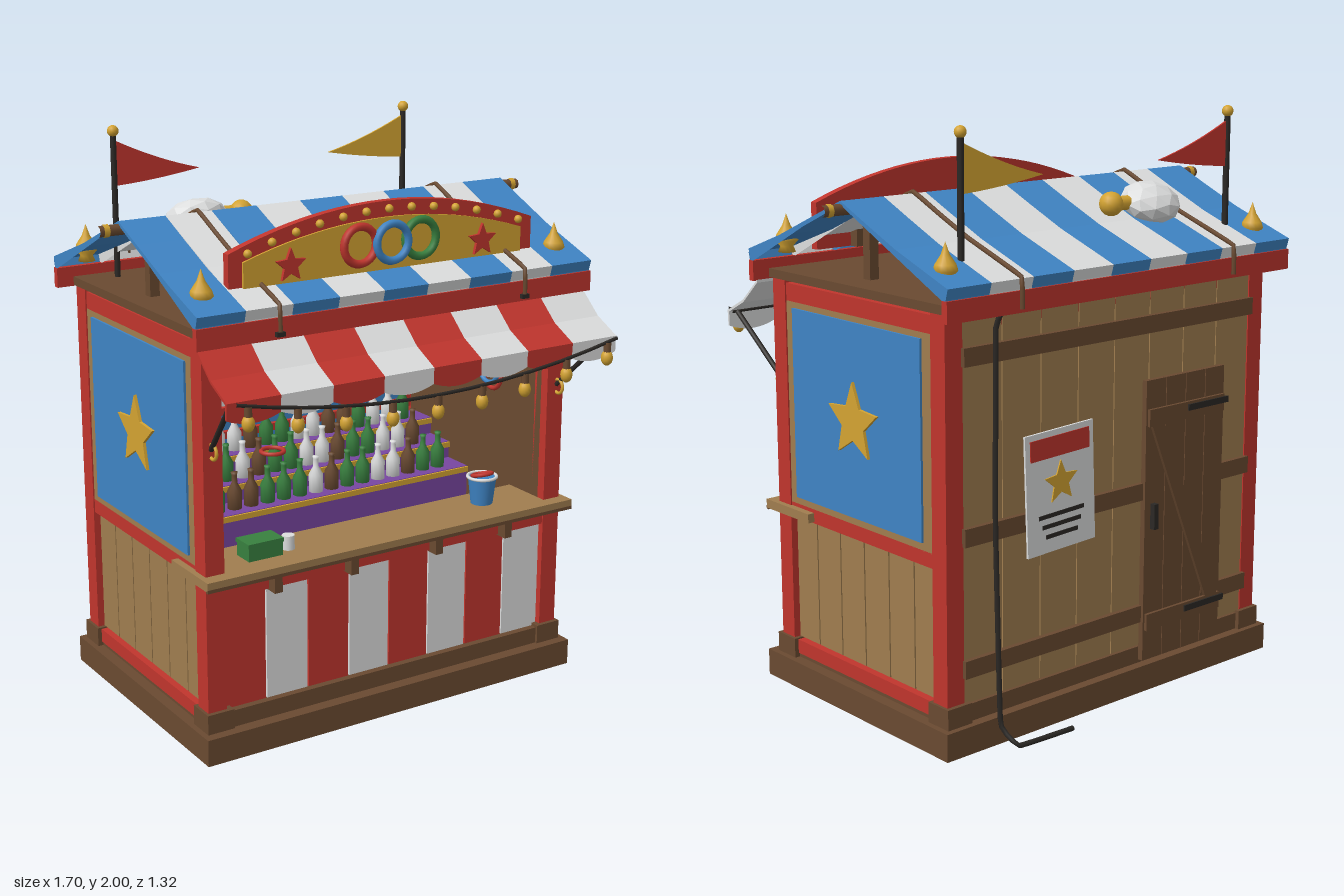
import * as THREE from 'three';

const mat = (name, color) => { const m = new THREE.MeshStandardMaterial({ color }); m.name = name; return m; };

export function createModel() {
  const red = mat('red paint', 0xc0352d), blue = mat('blue paint', 0x3f84c4), white = mat('white cloth', 0xdcdddd);
  const gold = mat('gold', 0xd3a332), brown = mat('dark wood', 0x6a4a31), tan = mat('light wood', 0xa07d4f);
  const purple = mat('purple', 0x7846a0), green = mat('green', 0x38803f), black = mat('black iron', 0x2b2825);
  const root = new THREE.Group();
  root.name = 'fairgroundStall';

  // ---- helpers ----
  const add = (name, geo, m, x = 0, y = 0, z = 0, parent = root) => {
    const o = new THREE.Mesh(geo, m);
    o.name = name; o.position.set(x, y, z); parent.add(o);
    return o;
  };
  const box = (name, m, w, h, d, x, y, z, parent) => add(name, new THREE.BoxGeometry(w, h, d), m, x, y, z, parent);
  const ball = (name, m, r, x, y, z, sx = 1, sy = 1, sz = 1, parent = root) => {
    const o = add(name, new THREE.SphereGeometry(r, 14, 10), m, x, y, z, parent);
    o.scale.set(sx, sy, sz); return o;
  };
  const ring = (name, m, r, t, x, y, z) => add(name, new THREE.TorusGeometry(r, t, 8, 28), m, x, y, z);
  const tube = (name, m, pts, r, seg = 24) => add(name, new THREE.TubeGeometry(
    new THREE.CatmullRomCurve3(pts.map(p => new THREE.Vector3(...p)), false, 'catmullrom', 0.1), seg, r, 6), m);
  const rod = (name, m, a, b, r) => add(name, new THREE.TubeGeometry(
    new THREE.LineCurve3(new THREE.Vector3(...a), new THREE.Vector3(...b)), 1, r, 8), m);
  const plate = (name, m, shape, depth, x, y, z) =>
    add(name, new THREE.ExtrudeGeometry(shape, { depth, bevelEnabled: false, curveSegments: 20 }), m, x, y, z);
  const starShape = r => new THREE.Shape(Array.from({ length: 10 }, (_, i) => {
    const a = Math.PI / 2 + i * Math.PI / 5, q = i % 2 ? r * 0.45 : r;
    return new THREE.Vector2(Math.cos(a) * q, Math.sin(a) * q);
  }));
  // Cloth strip: [z, y] path thickened downwards and swept from x0 to x1
  const cloth = (name, m, path, x0, x1, t) => {
    const outline = [...path, ...path.slice().reverse().map(([z, y]) => [z, y - t])];
    const geo = new THREE.ExtrudeGeometry(new THREE.Shape(outline.map(p => new THREE.Vector2(...p))),
      { depth: x1 - x0, bevelEnabled: false });
    geo.translate(0, 0, -x1).rotateY(-Math.PI / 2);
    return add(name, geo, m);
  };
  const CZ = -0.075;

  // ---- plinth, frame and ceiling ----
  box('plinth', brown, 1.52, 0.095, 1.0, 0, 0.0475, -0.07);
  box('floorBeam', brown, 1.44, 0.06, 0.92, 0, 0.125, CZ);
  for (const s of [-1, 1]) for (const z of [0.345, -0.5]) {
    box('cornerBlock', brown, 0.1, 0.07, 0.1, s * 0.69, 0.13, z);
    box('cornerPost', red, 0.07, 1.29, 0.07, s * 0.695, 0.8, z);
  }
  box('ceiling', brown, 1.47, 0.03, 0.94, 0, 1.455, CZ);
  for (const z of [0.35, -0.505]) box('topBeam', red, 1.36, 0.06, 0.05, 0, 1.41, z);
  for (const z of [0.435, -0.595]) box('fascia', red, 1.56, 0.07, 0.025, 0, 1.462, z);

  // ---- side walls ----
  for (const s of [-1, 1]) {
    box('sideWall', brown, 0.03, 1.28, 0.84, s * 0.675, 0.8, CZ);
    for (const [y, h] of [[0.135, 0.05], [0.638, 0.05], [1.4, 0.06]]) box('sideRail', red, 0.05, h, 0.8, s * 0.7, y, CZ);
    for (let i = 0; i < 6; i++) box('sidePlank', tan, 0.02, 0.44, 0.127, s * 0.695, 0.385, CZ + (i - 2.5) * 0.133);
    box('panelFrame', tan, 0.03, 0.71, 0.8, s * 0.71, 1.015, CZ);
    box('bluePanel', blue, 0.008, 0.66, 0.685, s * 0.73, 1.02, CZ);
    const star = plate('sideStar', gold, starShape(0.135), 0.015, s * 0.73, 1.02, CZ);
    star.rotation.y = s * Math.PI / 2;
    box('gablePost', brown, 0.035, 0.22, 0.035, s * 0.66, 1.595, -0.08);
    // Prize rings hung on the inner walls
    [[gold, 0.06, 1.12], [red, 0.05, 1.06], [blue, 0.055, 1.09]].forEach(([m, r, y], i) => {
      ring('wallRing', m, r, 0.009, s * (0.645 - i * 0.018), y, 0.1).rotation.y = Math.PI / 2;
    });
  }

  // ---- front counter ----
  for (let i = 0; i < 8; i++)
    box('frontStripe', i % 2 ? white : red, 0.16, 0.41, 0.02, (i - 3.5) * 0.165, 0.36, 0.35);
  box('frontBacking', brown, 1.34, 0.44, 0.02, 0, 0.37, 0.335);
  box('frontRail', red, 1.34, 0.055, 0.05, 0, 0.585, 0.35);
  box('counter', tan, 1.5, 0.032, 0.25, 0, 0.634, 0.305);
  box('counterEdge', brown, 1.5, 0.012, 0.012, 0, 0.62, 0.425);
  for (const x of [-0.476, -0.175, 0.175, 0.476]) box('counterBracket', brown, 0.03, 0.065, 0.05, x, 0.585, 0.39);

  // ---- back wall, door and notice ----
  box('backWall', brown, 1.34, 1.28, 0.03, 0, 0.8, -0.5);
  for (let i = 0; i < 8; i++) box('backPlank', tan, 0.161, 1.27, 0.02, (i - 3.5) * 0.165, 0.795, -0.522);
  for (const y of [0.28, 0.72, 1.3]) box('backBatten', brown, 1.33, 0.06, 0.02, 0, y, -0.54);
  for (let i = 0; i < 4; i++) box('doorPlank', brown, 0.094, 1.0, 0.02, -0.32 + (i - 1.5) * 0.097, 0.61, -0.55);
  for (const y of [0.25, 0.98]) {
    box('doorBar', brown, 0.37, 0.06, 0.012, -0.32, y, -0.565);
    box('doorHinge', black, 0.2, 0.022, 0.008, -0.42, y + 0.01, -0.573);
  }
  box('doorBrace', brown, 0.055, 0.76, 0.012, -0.32, 0.615, -0.565).rotation.z = -0.4;
  box('doorHandle', black, 0.02, 0.09, 0.02, -0.165, 0.63, -0.57);
  const notice = new THREE.Group();
  notice.name = 'notice'; notice.position.set(0.265, 0.81, -0.555); notice.rotation.set(0, Math.PI, 0.04); root.add(notice);
  box('noticeSheet', white, 0.3, 0.41, 0.008, 0, 0, 0, notice);
  box('noticeHeader', red, 0.26, 0.07, 0.004, 0, 0.15, 0.005, notice);
  notice.add(plate('noticeStar', gold, starShape(0.075), 0.006, 0, 0.025, 0.003));
  for (let i = 0; i < 3; i++) box('noticeLine', black, 0.2 - i * 0.03, 0.014, 0.004, 0, -0.08 - i * 0.035, 0.005, notice);

  // ---- striped roof ----
  const roof = [[0.44, 1.5], [0.45, 1.535], [0.2, 1.625], [0.05, 1.69], [-0.08, 1.748],
    [-0.21, 1.69], [-0.36, 1.625], [-0.61, 1.535], [-0.6, 1.5]];
  for (let i = 0; i < 9; i++)
    cloth('roofStripe', i % 2 ? white : blue, roof, -0.778 + i * 0.1729, -0.778 + (i + 1) * 0.1729, 0.012);
  rod('ridgePole', brown, [-0.85, 1.72, -0.08], [0.85, 1.72, -0.08], 0.019);
  for (const s of [-1, 1]) {
    rod('poleBand', gold, [s * 0.815, 1.72, -0.08], [s * 0.835, 1.72, -0.08], 0.022);
    tube('roofRope', brown, [[s * 0.485, 1.44, 0.455], ...roof.slice(1, 8).map(([z, y]) => [s * 0.485, y + 0.006, z]),
      [s * 0.485, 1.44, -0.615]], 0.008, 40);
    box('ropeCleat', black, 0.03, 0.015, 0.015, s * 0.485, 1.445, 0.455);
    // Finials at the four roof corners
    for (const z of [0.335, -0.505]) add('finial', new THREE.LatheGeometry(
      [[0, 0], [0.03, 0], [0.022, 0.02], [0.04, 0.04], [0.034, 0.06], [0.014, 0.09], [0, 0.13]]
        .map(p => new THREE.Vector2(...p)), 12), gold, s * 0.7, 1.53, z);
    // Flag poles and pennants
    rod('flagPole', black, [s * 0.603, 1.44, -0.463], [s * 0.603, 1.97, -0.463], 0.011);
    ball('flagPoleKnob', gold, 0.02, s * 0.603, 1.98, -0.463);
    const pennant = new THREE.Shape();
    pennant.moveTo(0, 1.95);
    pennant.quadraticCurveTo(-s * 0.16, 1.87, -s * 0.32, 1.83);
    pennant.quadraticCurveTo(-s * 0.16, 1.8, 0, 1.79);
    const flag = plate('pennant', s < 0 ? red : gold, pennant, 0.008, s * 0.603, 0, -0.467);
    flag.rotation.y = -0.07;
  }

  // ---- tied sack resting on the back slope ----
  const sack = add('sack', new THREE.IcosahedronGeometry(1, 1), white, -0.35, 1.675, -0.345);
  sack.geometry = sack.geometry.toNonIndexed(); sack.geometry.computeVertexNormals();
  sack.scale.set(0.115, 0.065, 0.1); sack.rotation.x = -0.4;
  ball('sackKnot', gold, 0.042, -0.18, 1.68, -0.325);
  rod('sackNeck', gold, [-0.25, 1.68, -0.335], [-0.2, 1.68, -0.33], 0.025);

  // ---- arched sign ----
  const arch = (w, bottom, side, ctrl) => {
    const a = new THREE.Shape();
    a.moveTo(-w, bottom); a.lineTo(w, bottom); a.lineTo(w, side);
    a.quadraticCurveTo(0, ctrl, -w, side);
    return a;
  };
  plate('signBoard', red, arch(0.6, 1.53, 1.69, 1.915), 0.03, 0, 0, 0.3);
  plate('signPanel', gold, arch(0.55, 1.57, 1.66, 1.84), 0.008, 0, 0, 0.33);
  for (let i = 0; i < 13; i++) {
    const t = (i + 0.5) / 13, u = 1 - t;
    ball('signBulb', gold, 0.014, -0.58 + 1.16 * t, 1.672 * (u * u + t * t) + 2 * u * t * 1.885, 0.342);
    if (i % 2 === 0) ball('signBulb', gold, 0.012, -0.58 + 1.16 * t, 1.55, 0.342);
  }
  [[red, -0.12], [blue, 0], [green, 0.12]].forEach(([m, x], i) => ring('signRing', m, 0.062, 0.014, x, 1.67, 0.352 + (i % 2) * 0.012));
  for (const s of [-1, 1]) {
    plate('signStar', red, starShape(0.058), 0.012, s * 0.38, 1.633, 0.338);
    box('signBrace', brown, 0.04, 0.14, 0.035, s * 0.44, 1.6, 0.28);
  }

  // ---- awning with scalloped edge ----
  for (let i = 0; i < 8; i++) {
    const x0 = -0.768 + i * 0.192, m = i % 2 ? white : red;
    cloth('awningStripe', m, [[0.61, 1.3], [0.51, 1.35], [0.42, 1.43]], x0, x0 + 0.192, 0.01);
    const flap = new THREE.Shape();
    flap.moveTo(0, 0); flap.lineTo(0, -0.055);
    flap.quadraticCurveTo(0.096, -0.095, 0.192, -0.055); flap.lineTo(0.192, 0);
    plate('awningFlap', m, flap, 0.008, x0, 1.3, 0.6);
  }
  for (const s of [-1, 1]) {
    rod('awningArm', black, [s * 0.74, 1.295, 0.59], [s * 0.7, 1.08, 0.38], 0.009);
    ring('awningArmRing', gold, 0.025, 0.006, s * 0.7, 1.075, 0.39).rotation.y = Math.PI / 2;
  }
  rod('awningBar', black, [-0.76, 1.295, 0.595], [0.76, 1.295, 0.595], 0.006);

  // ---- string of lamps ----
  const sag = x => 1.215 + 0.085 * (x / 0.75) ** 2;
  tube('lampWire', black, Array.from({ length: 13 }, (_, i) => { const x = -0.75 + i * 0.125; return [x, sag(x), 0.635]; }), 0.006, 48);
  for (let i = 0; i < 9; i++) {
    const x = (i - 4) * 0.177, y = sag(x);
    rod('lampSocket', brown, [x, y, 0.635], [x, y - 0.035, 0.635], 0.013);
    ball('lampBulb', gold, 0.021, x, y - 0.055, 0.635, 1, 1.3, 1);
  }

  // ---- backdrop with hung prizes ----
  box('backdropSides', blue, 1.3, 0.76, 0.01, 0, 1.04, -0.475);
  box('backdropCentre', white, 1.08, 0.5, 0.01, 0, 1.17, -0.467);
  [[red, -0.41, 0.99], [green, -0.085, 0.99], [gold, 0.245, 0.99], [gold, -0.25, 1.14], [blue, 0.085, 1.14]]
    .forEach(([m, x, y]) => {
      ring('prizeRing', m, 0.048, 0.008, x, y, -0.44);
      box('prizePeg', tan, 0.012, 0.012, 0.05, x, y + 0.04, -0.44);
    });
  plate('prizeStar', green, starShape(0.075), 0.03, 0.19, 1.165, -0.44);
  for (let i = 0; i < 3; i++) {
    const fruit = add('prizeBanana', new THREE.TorusGeometry(0.06, 0.016, 8, 12, 1.7), gold, -0.2 + i * 0.015, 1.15, -0.42 + i * 0.02);
    fruit.rotation.z = -0.9 + i * 0.25;
  }
  const bear = (m, belly, x) => {
    const g = new THREE.Group();
    g.name = 'plushBear'; g.position.set(x, 1.07, -0.38); root.add(g);
    ball('bearBody', m, 0.06, 0, 0, 0, 1, 1.15, 0.85, g);
    ball('bearBelly', belly, 0.04, 0, 0, 0.025, 1, 1.15, 0.8, g);
    ball('bearHead', m, 0.05, 0, 0.1, 0.005, 1, 0.95, 0.9, g);
    ball('bearSnout', belly, 0.022, 0, 0.088, 0.045, 1, 0.8, 0.8, g);
    ball('bearNose', black, 0.008, 0, 0.094, 0.063, 1, 1, 1, g);
    for (const s of [-1, 1]) {
      ball('bearEar', m, 0.02, s * 0.038, 0.14, 0, 1, 1, 0.6, g);
      ball('bearEye', black, 0.007, s * 0.018, 0.112, 0.046, 1, 1, 1, g);
      ball('bearArm', m, 0.024, s * 0.07, 0.02, 0.02, 1, 1.7, 1, g).rotation.z = s * 0.6;
      ball('bearLeg', m, 0.03, s * 0.045, -0.06, 0.03, 1, 1.2, 1.2, g);
    }
  };
  bear(gold, white, -0.455);
  bear(purple, white, 0.455);

  // ---- stepped shelves with bottles ----
  const bottle = new THREE.LatheGeometry([[0, 0], [0.026, 0], [0.027, 0.065], [0.011, 0.095], [0.01, 0.125], [0.013, 0.135], [0, 0.136]]
    .map(p => new THREE.Vector2(...p)), 10);
  const glass = [green, brown, white, green, green, brown, green, white];
  for (let row = 0; row < 3; row++) {
    const y = 0.66 + row * 0.065, z = -0.12 - row * 0.12;
    box('shelfTier', purple, 1.28, y - 0.16, 0.12, 0, (y + 0.16) / 2, z);
    box('shelfTrim', gold, 1.28, 0.02, 0.012, 0, y - 0.012, z + 0.062);
    const n = 17 - row % 2;
    for (let i = 0; i < n; i++)
      add('bottle', bottle, glass[(i * 3 + row * 5 + (i >> 2)) % 8], (i - (n - 1) / 2) * 0.068, y, z);
  }
  for (const y of [0.825, 0.918]) box('shelfRail', red, 1.24, 0.028, 0.02, 0, y, -0.435);
  for (const s of [-1, 1]) box('shelfRailEnd', red, 0.025, 0.12, 0.03, s * 0.61, 0.87, -0.43);
  ring('thrownRing', red, 0.042, 0.008, -0.135, 0.815, -0.2).rotation.x = Math.PI / 2;

  // ---- things on the counter ----
  box('cashBox', green, 0.13, 0.05, 0.08, -0.48, 0.675, 0.3);
  box('cashBoxLid', green, 0.136, 0.014, 0.086, -0.48, 0.705, 0.3);
  add('mug', new THREE.CylinderGeometry(0.022, 0.022, 0.05, 14), white, -0.37, 0.675, 0.3);
  add('bucket', new THREE.CylinderGeometry(0.052, 0.04, 0.1, 16), blue, 0.455, 0.7, 0.28);
  ring('bucketRim', white, 0.052, 0.006, 0.455, 0.75, 0.28).rotation.x = Math.PI / 2;
  ring('bucketRing', red, 0.036, 0.007, 0.455, 0.757, 0.28).rotation.x = 1.3;

  // ---- power cable down the back ----
  tube('cable', black, [[0.53, 1.46, -0.59], [0.545, 1.38, -0.56], [0.55, 0.75, -0.562], [0.55, 0.08, -0.585],
    [0.52, 0.012, -0.642], [0.29, 0.01, -0.652]], 0.009, 60);
  return root;
}
